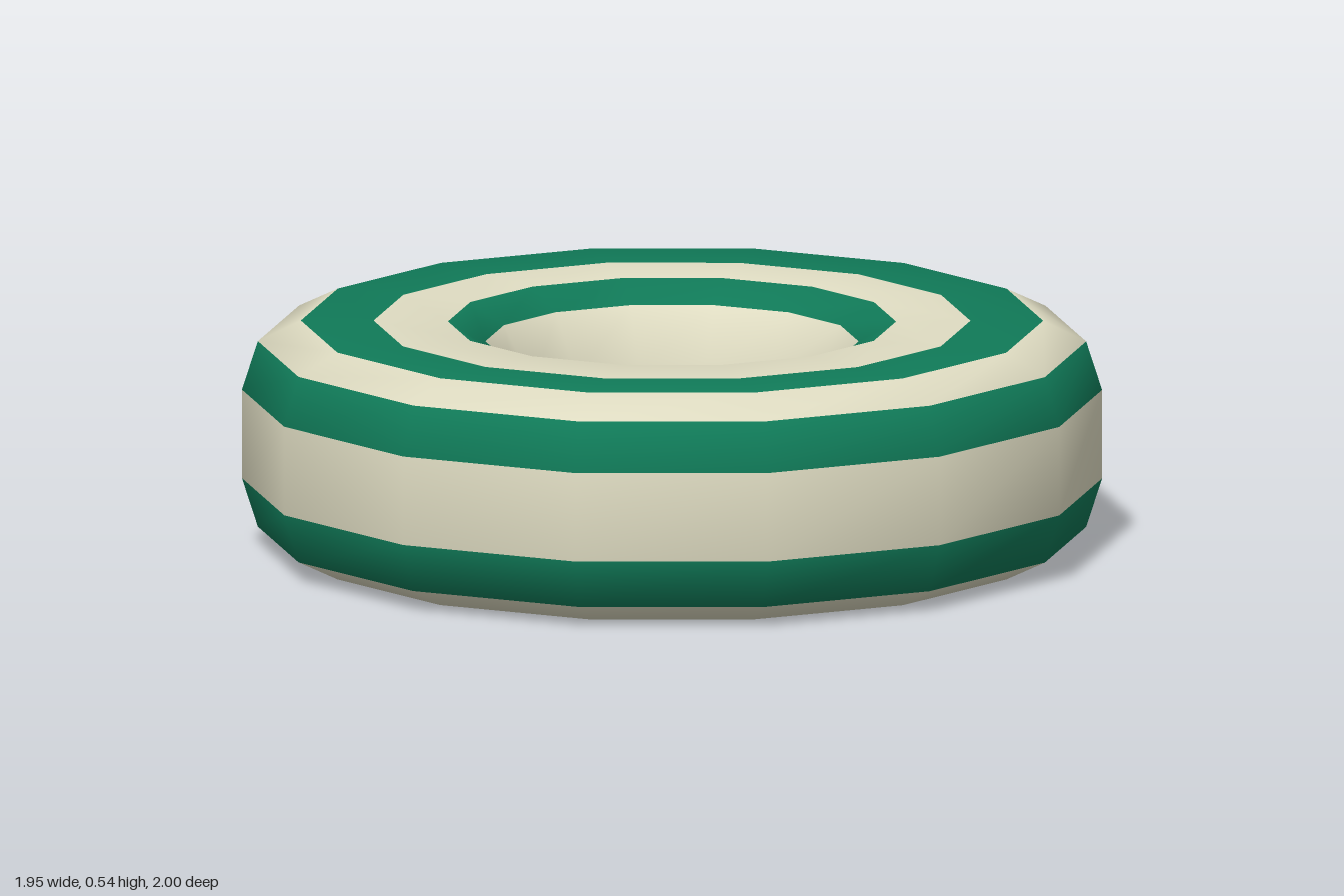
import * as THREE from 'three';

const SIDES = 14;
// Upper half of the tube section as [radius, height above the mid-plane], outside to inside
const HALF = [
  [1.0, 0.105], [0.963, 0.22], [0.863, 0.269], [0.694, 0.269],
  [0.521, 0.267], [0.434, 0.22], [0.356, 0.078],
];
const MID = 0.269;

export function createModel() {
  const group = new THREE.Group();
  group.name = 'stripedRing';

  const cream = new THREE.MeshStandardMaterial({ color: 0xdfdcc2 });
  cream.name = 'cream';
  const green = new THREE.MeshStandardMaterial({ color: 0x107a58 });
  green.name = 'green';

  // Closed section: upper half, then its mirror back to the outside
  const section = [...HALF, ...HALF.slice().reverse().map(([r, y]) => [r, -y])];
  const n = section.length;

  // Sweep the section around the vertical axis
  const positions = [];
  for (const [r, y] of section) {
    for (let j = 0; j < SIDES; j++) {
      const a = (j / SIDES) * Math.PI * 2;
      positions.push(Math.sin(a) * r, y + MID, Math.cos(a) * r);
    }
  }

  // Bands run between neighbouring section points and alternate in colour;
  // the outermost band (from last point to first) is cream
  const indices = [[], []];
  for (let i = 0; i < n; i++) {
    const next = (i + 1) % n;
    const band = indices[i % 2];
    for (let j = 0; j < SIDES; j++) {
      const k = (j + 1) % SIDES;
      const a = i * SIDES + j, b = i * SIDES + k;
      const c = next * SIDES + k, d = next * SIDES + j;
      band.push(a, b, c, a, c, d);
    }
  }

  // Smooth normals over the whole ring, shared by both colours
  const ring = new THREE.BufferGeometry();
  ring.setAttribute('position', new THREE.Float32BufferAttribute(positions, 3));
  ring.setIndex([...indices[0], ...indices[1]]);
  ring.computeVertexNormals();

  const addBands = (name, index, material) => {
    const geometry = new THREE.BufferGeometry();
    geometry.setAttribute('position', ring.getAttribute('position'));
    geometry.setAttribute('normal', ring.getAttribute('normal'));
    geometry.setIndex(index);
    const mesh = new THREE.Mesh(geometry, material);
    mesh.name = name;
    group.add(mesh);
  };
  addBands('greenBands', indices[0], green);
  addBands('creamBands', indices[1], cream);

  return group;
}
